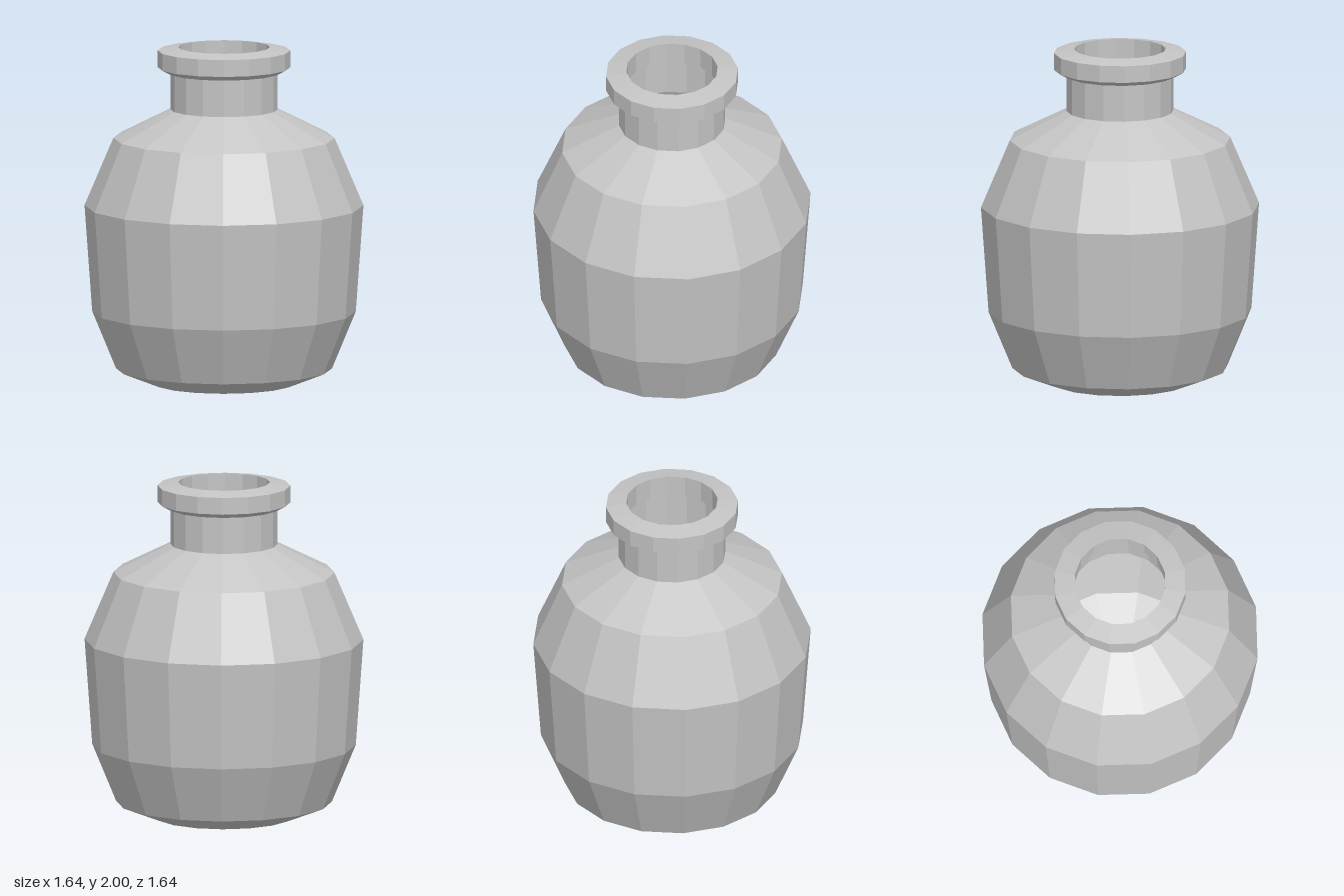
import * as THREE from 'three';

const SIDES = 16;

// Faceted ring of surfaces turned about the y axis from [radius, height] points
function turned(name, profile, material) {
  const points = profile.map(([r, y]) => new THREE.Vector2(r, y));
  const mesh = new THREE.Mesh(new THREE.LatheGeometry(points, SIDES), material);
  mesh.name = name;
  return mesh;
}

export function createModel() {
  const jar = new THREE.Group();
  jar.name = 'jar';

  // Thin open shell, seen from inside and outside
  const clay = new THREE.MeshStandardMaterial({ color: 0xc4c4c4, flatShading: true, side: THREE.DoubleSide });
  clay.name = 'grey clay';

  // Belly with an open foot and a sloping shoulder
  jar.add(turned('body', [
    [0.41, 0], [0.635, 0.09], [0.775, 0.43], [0.82, 1.06], [0.65, 1.46], [0.315, 1.63],
  ], clay));

  // Straight neck
  jar.add(turned('neck', [[0.315, 1.63], [0.315, 1.85]], clay));

  // Bevelled collar that turns down into the mouth
  jar.add(turned('lip', [
    [0.315, 1.85], [0.335, 1.85], [0.39, 1.88], [0.39, 1.98], [0.27, 2], [0.27, 1.87], [0.315, 1.85],
  ], clay));

  return jar;
}
